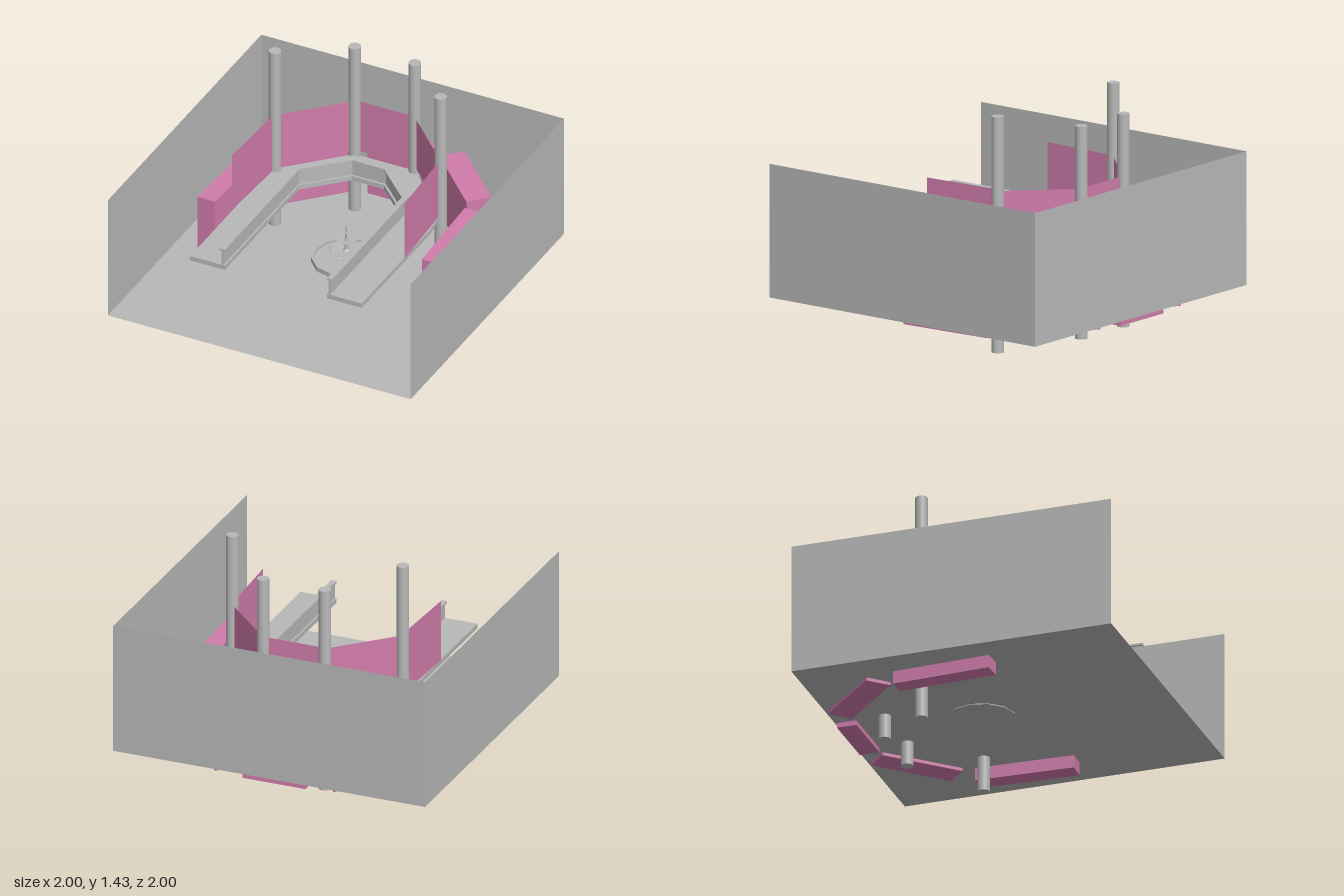
import * as THREE from 'three';

const gray = new THREE.MeshStandardMaterial({ color: 0xb8b8b8, side: THREE.DoubleSide });
gray.name = 'stone gray';
const pink = new THREE.MeshStandardMaterial({ color: 0xd07cab, side: THREE.DoubleSide });
pink.name = 'panel pink';

function add(parent, name, geometry, material) {
  const mesh = new THREE.Mesh(geometry, material);
  mesh.name = name;
  parent.add(mesh);
  return mesh;
}

// Solid prism from a plan outline of [x, z] points between two heights
function prism(points, y0, y1) {
  const shape = new THREE.Shape(points.map(([x, z]) => new THREE.Vector2(x, -z)));
  const geo = new THREE.ExtrudeGeometry(shape, { depth: y1 - y0, bevelEnabled: false });
  return geo.rotateX(-Math.PI / 2).translate(0, y0, 0);
}

// Thin upright sheet between two plan points
function sheet([x0, z0], [x1, z1], y0, y1) {
  const geo = new THREE.PlaneGeometry(Math.hypot(x1 - x0, z1 - z0), y1 - y0);
  return geo.rotateY(Math.atan2(z0 - z1, x1 - x0))
    .translate((x0 + x1) / 2, (y0 + y1) / 2, (z0 + z1) / 2);
}

const mirrorX = (points) => points.map(([x, z]) => [-x, z]).reverse();

// U-shaped band from the right halves of its outer and inner edges
function band(outer, inner, y0, y1) {
  return prism([...outer, ...mirrorX(outer), ...mirrorX(inner).reverse(), ...[...inner].reverse()]
    .length ? [...outer, ...mirrorX(outer), ...inner.map(([x, z]) => [-x, z]), ...[...inner].reverse()] : [], y0, y1);
}

function createRoom() {
  const room = new THREE.Group();
  room.name = 'room';
  const y0 = 0.22, y1 = 1.03;
  add(room, 'floor', new THREE.PlaneGeometry(2, 2).rotateX(-Math.PI / 2).translate(0, y0, 0), gray);
  add(room, 'backWall', sheet([-1, -1], [1, -1], y0, y1), gray);
  add(room, 'rightWall', sheet([-1, 1], [-1, -1], y0, y1), gray);
  add(room, 'leftWall', sheet([1, -1], [1, 1], y0, y1), gray);
  return room;
}

function createBalcony() {
  const balcony = new THREE.Group();
  balcony.name = 'balcony';
  const edge = [[0.337, 0.73], [0.337, -0.245], [0.105, -0.47]];
  add(balcony, 'balconyFloor', band(
    [[0.567, 0.73], [0.567, -0.15], [0.547, -0.337], [0.198, -0.69]], edge, 0.57, 0.6), gray);
  add(balcony, 'railingWall', band(
    [[0.358, 0.73], [0.358, -0.258], [0.115, -0.498]],
    [[0.348, 0.73], [0.348, -0.252], [0.11, -0.485]], 0.6, 0.698), gray);
  add(balcony, 'railingCap', band(
    [[0.372, 0.73], [0.372, -0.27], [0.123, -0.52]], edge, 0.698, 0.712), gray);
  return balcony;
}

function createFountain() {
  const fountain = new THREE.Group();
  fountain.name = 'fountain';
  fountain.position.set(-0.012, 0, -0.16);
  const lathe = (name, profile, sides) => {
    const geo = new THREE.LatheGeometry(profile.map(([r, y]) => new THREE.Vector2(r, y)), sides).toNonIndexed();
    geo.computeVertexNormals();
    add(fountain, name, geo, gray);
  };
  lathe('basin', [[0, 0.215], [0.208, 0.215], [0.208, 0.25], [0.197, 0.25], [0.197, 0.235], [0, 0.235]], 12);
  // Stem with three shrinking dishes and a pointed tip
  lathe('tieredStem', [
    [0.022, 0.235], [0.022, 0.272], [0.06, 0.28], [0.105, 0.297], [0.1, 0.3], [0.025, 0.293],
    [0.012, 0.31], [0.012, 0.345], [0.035, 0.355], [0.06, 0.368], [0.012, 0.364],
    [0.008, 0.38], [0.008, 0.412], [0.032, 0.428], [0.007, 0.426], [0.006, 0.465], [0, 0.48],
  ], 8);
  return fountain;
}

export function createModel() {
  const model = new THREE.Group();
  model.name = 'balconyHall';
  model.add(createRoom(), createFountain());

  // Balcony, posts, panels and boxes share a slightly shifted centre line
  const stage = new THREE.Group();
  stage.name = 'stage';
  stage.position.x = -0.027;
  model.add(stage);
  stage.add(createBalcony());

  const diagonalBox = [[0.38, -0.98], [0.268, -0.87], [0.635, -0.5], [0.745, -0.61]];
  const sideBox = [[0.772, -0.435], [0.659, -0.43], [0.684, 0.178], [0.8, 0.173]];
  add(stage, 'backBox', prism([[-0.203, -0.988], [0.203, -0.988], [0.203, -0.867], [-0.203, -0.867]], 0.19, 0.615), pink);
  add(stage, 'backPanel', sheet([-0.198, -0.69], [0.198, -0.69], 0.63, 0.98), pink);

  for (const [side, s] of [['left', 1], ['right', -1]]) {
    const flip = (points) => points.map(([x, z]) => [s * x, z]);
    add(stage, side + 'DiagonalBox', prism(flip(diagonalBox), 0.2, 0.62), pink);
    add(stage, side + 'SideBox', prism(flip(sideBox), 0.14, 0.625), pink);
    add(stage, side + 'DiagonalPanel', sheet(...flip([[0.198, -0.69], [0.547, -0.337]]), 0.63, 0.975), pink);
    add(stage, side + 'SidePanel', sheet(...flip([[0.547, -0.337], [0.571, 0.178]]), 0.6, 0.985), pink);

    for (const [name, x, z, y0, y1] of [
      ['FrontPost', 0.547, -0.337, 0, 1.43],
      ['BackPost', 0.198, -0.69, 0.07, 1.36],
    ]) {
      const post = add(stage, side + name, new THREE.CylinderGeometry(0.037, 0.037, y1 - y0, 32), gray);
      post.position.set(s * x, (y0 + y1) / 2, z);
    }
  }
  return model;
}
